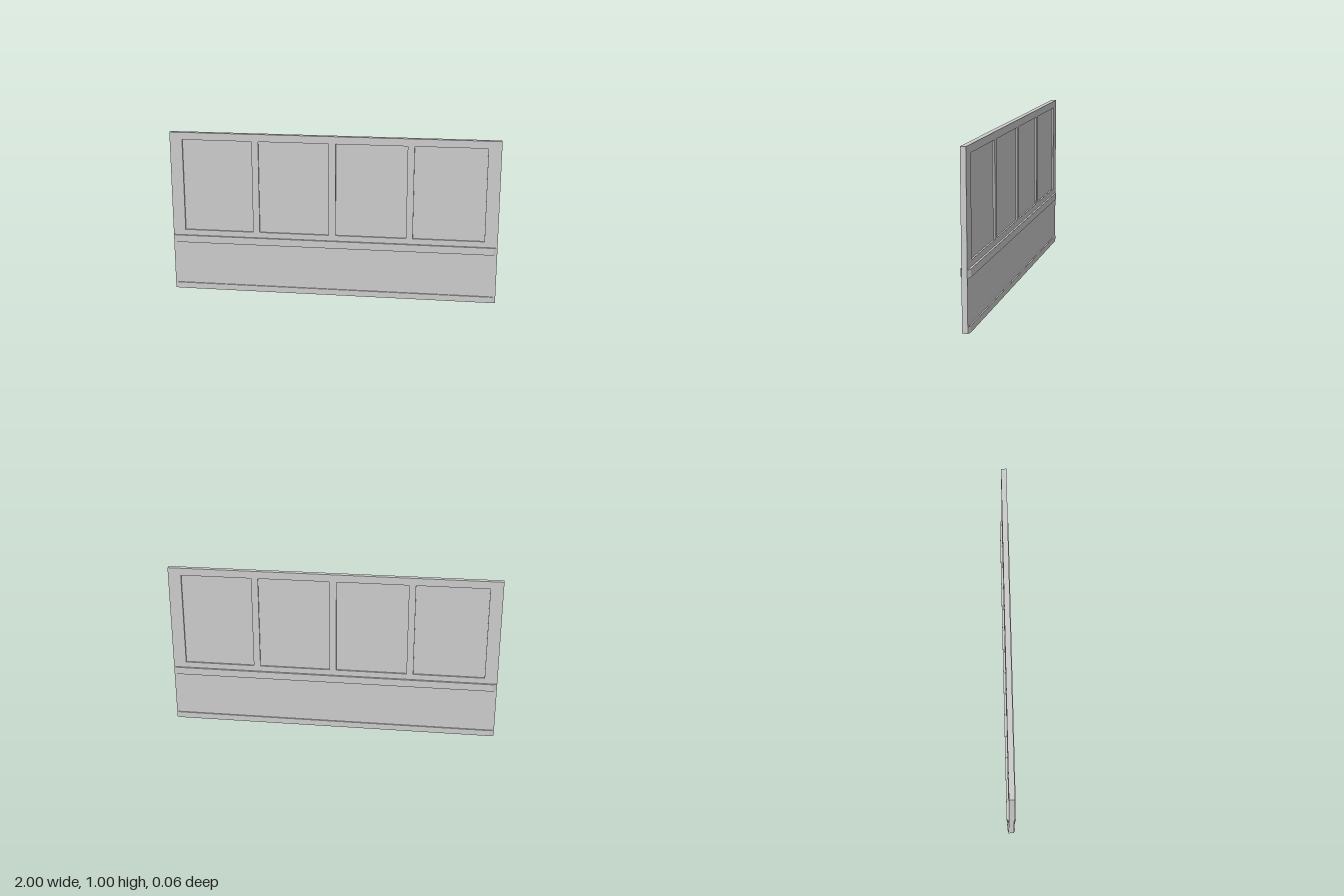
import * as THREE from 'three';

const material = new THREE.MeshStandardMaterial({ color: 0xcccccc, flatShading: true });
const HALF = 0.016; // half thickness of the wall

function addMesh(parent, name, geometry) {
  const mesh = new THREE.Mesh(geometry, material);
  mesh.name = name;
  parent.add(mesh);
  return mesh;
}

// Horizontal moulding with chamfered ends, lying on the wall face
function trimGeometry(y0, y1, depth, chamfer) {
  const shape = new THREE.Shape([
    new THREE.Vector2(-1, -HALF),
    new THREE.Vector2(-1 + chamfer, -depth),
    new THREE.Vector2(1 - chamfer, -depth),
    new THREE.Vector2(1, -HALF),
  ]);
  const geometry = new THREE.ExtrudeGeometry(shape, { depth: y1 - y0, bevelEnabled: false });
  return geometry.rotateX(-Math.PI / 2).translate(0, y0, 0);
}

export function createModel() {
  const model = new THREE.Group();
  model.name = 'panelledPartition';

  // Window layout
  const width = 0.43, y0 = 0.385, y1 = 0.955;
  const centres = [-0.708, -0.237, 0.235, 0.706];

  // Wall slab with four openings
  const slab = new THREE.Shape([
    new THREE.Vector2(-1, 0), new THREE.Vector2(1, 0),
    new THREE.Vector2(1, 1), new THREE.Vector2(-1, 1),
  ]);
  for (const x of centres) {
    slab.holes.push(new THREE.Path([
      new THREE.Vector2(x - width / 2, y0), new THREE.Vector2(x - width / 2, y1),
      new THREE.Vector2(x + width / 2, y1), new THREE.Vector2(x + width / 2, y0),
    ]));
  }
  addMesh(model, 'wall', new THREE.ExtrudeGeometry(slab, { depth: 2 * HALF, bevelEnabled: false })
    .translate(0, 0, -HALF));

  // Recessed panes
  centres.forEach((x, i) => {
    const pane = addMesh(model, `pane${i + 1}`, new THREE.BoxGeometry(width, y1 - y0, 0.012));
    pane.position.set(x, (y0 + y1) / 2, 0);
  });

  // Rail and skirting on both faces
  for (const [side, turn] of [['front', 0], ['back', Math.PI]]) {
    addMesh(model, `${side}Rail`, trimGeometry(0.305, 0.35, 0.028, 0.025)).rotation.y = turn;
    addMesh(model, `${side}Skirting`, trimGeometry(0, 0.037, 0.024, 0.025)).rotation.y = turn;
  }
  return model;
}
